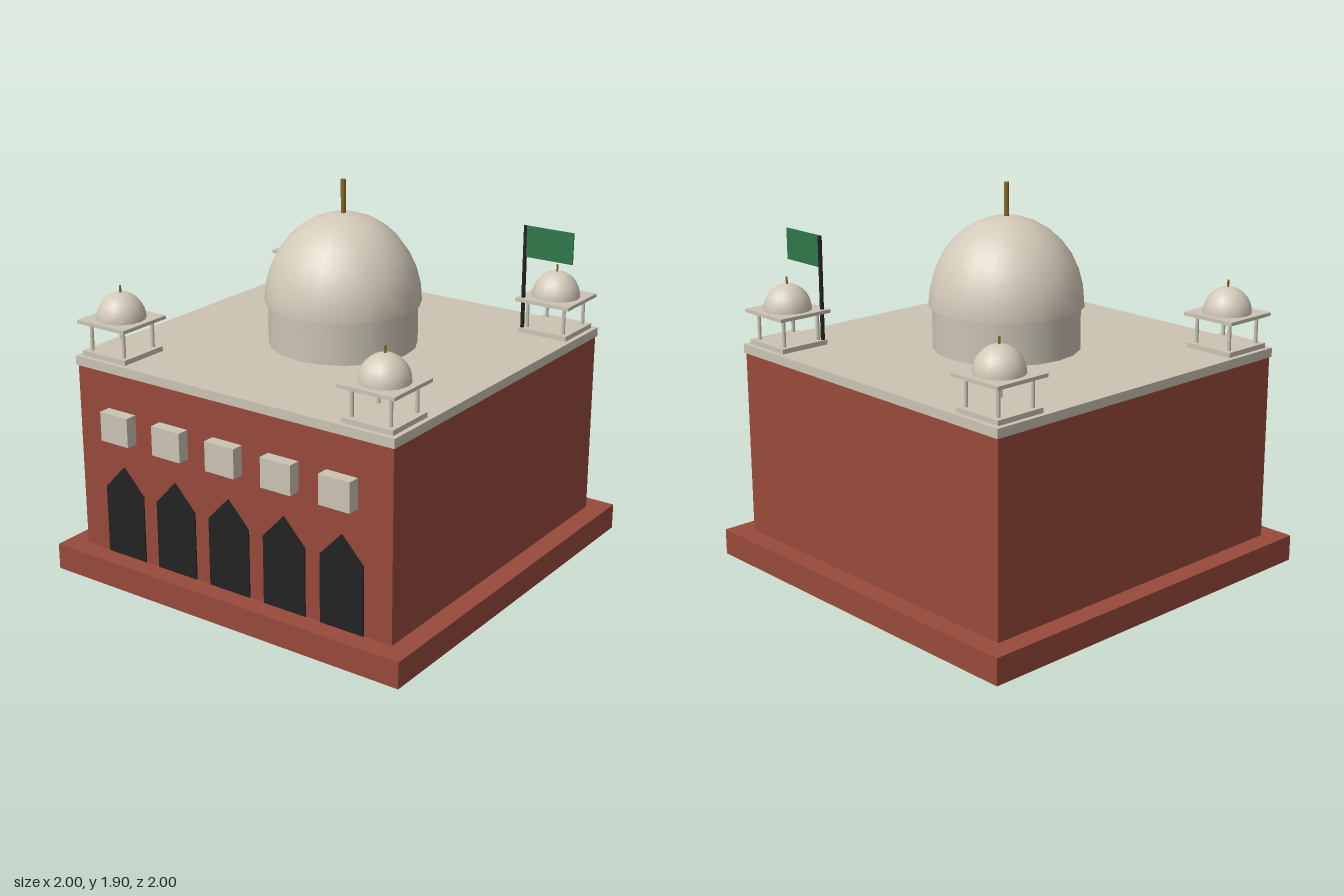
import * as THREE from 'three';

const material = (name, color, side = THREE.FrontSide) => {
  const m = new THREE.MeshStandardMaterial({ color, side });
  m.name = name;
  return m;
};

export function createModel() {
  const brick = material('brick red', 0x984a3b);
  const stone = material('pale stone', 0xcbc4b4);
  const domeStone = material('dome cream', 0xd3c9b9, THREE.DoubleSide);
  const dark = material('doorway black', 0x222222);
  const gold = material('finial gold', 0x8a6a2c);
  const green = material('flag green', 0x2f774a);

  const model = new THREE.Group();
  model.name = 'domedHall';

  const add = (parent, name, geometry, mat, x, y, z) => {
    const mesh = new THREE.Mesh(geometry, mat);
    mesh.name = name;
    mesh.position.set(x, y, z);
    parent.add(mesh);
    return mesh;
  };
  // Box and rod placed by their bottom and top heights
  const box = (parent, name, mat, w, d, y0, y1, x = 0, z = 0) =>
    add(parent, name, new THREE.BoxGeometry(w, y1 - y0, d), mat, x, (y0 + y1) / 2, z);
  const rod = (parent, name, mat, r, y0, y1, x = 0, z = 0, sides = 8) =>
    add(parent, name, new THREE.CylinderGeometry(r, r, y1 - y0, sides), mat, x, (y0 + y1) / 2, z);
  const dome = (parent, name, r, height, y, sides, rings) => {
    const g = new THREE.SphereGeometry(r, sides, rings, 0, Math.PI * 2, 0, Math.PI / 2);
    g.scale(1, height / r, 1);
    return add(parent, name, g, domeStone, 0, y, 0);
  };

  // Plinth, walls and roof slab
  box(model, 'plinth', brick, 2, 2, 0, 0.13);
  box(model, 'walls', brick, 1.794, 1.794, 0.13, 1.055);
  box(model, 'roofSlab', stone, 1.81, 1.81, 1.055, 1.1);

  // Pointed doorways with projecting window blocks above
  const arch = new THREE.Shape([
    [-0.117, 0.13], [0.117, 0.13], [0.117, 0.468], [0, 0.592], [-0.117, 0.468],
  ].map(([x, y]) => new THREE.Vector2(x, y)));
  const archGeometry = new THREE.ExtrudeGeometry(arch, { depth: 0.008, bevelEnabled: false });
  for (let i = -2; i <= 2; i++) {
    const x = i * 0.316;
    add(model, 'doorway', archGeometry, dark, x, 0, 0.895);
    box(model, 'windowBlock', stone, 0.166, 0.07, 0.73, 0.875, x, 0.922);
  }

  // Central drum, dome and finial
  rod(model, 'drum', stone, 0.36, 1.1, 1.312, 0, 0, 20);
  dome(model, 'mainDome', 0.378, 0.43, 1.31, 20, 8);
  rod(model, 'mainFinial', gold, 0.012, 1.73, 1.9);

  // Corner kiosks
  for (const sx of [-1, 1]) {
    for (const sz of [-1, 1]) {
      const kiosk = new THREE.Group();
      kiosk.name = 'cornerKiosk';
      kiosk.position.set(sx * 0.748, 0, sz * 0.748);
      box(kiosk, 'kioskBase', stone, 0.265, 0.265, 1.1, 1.124);
      for (const px of [-0.1, 0.1]) {
        for (const pz of [-0.1, 0.1]) rod(kiosk, 'kioskPost', stone, 0.009, 1.124, 1.26, px, pz);
      }
      box(kiosk, 'kioskRoof', stone, 0.293, 0.293, 1.259, 1.276);
      dome(kiosk, 'kioskDome', 0.118, 0.127, 1.275, 16, 8);
      rod(kiosk, 'kioskFinial', gold, 0.005, 1.395, 1.435);
      model.add(kiosk);
    }
  }

  // Flag on its pole
  rod(model, 'flagPole', dark, 0.01, 1.1, 1.637, 0.63, -0.632);
  box(model, 'flag', green, 0.255, 0.008, 1.483, 1.638, 0.763, -0.632);

  return model;
}
